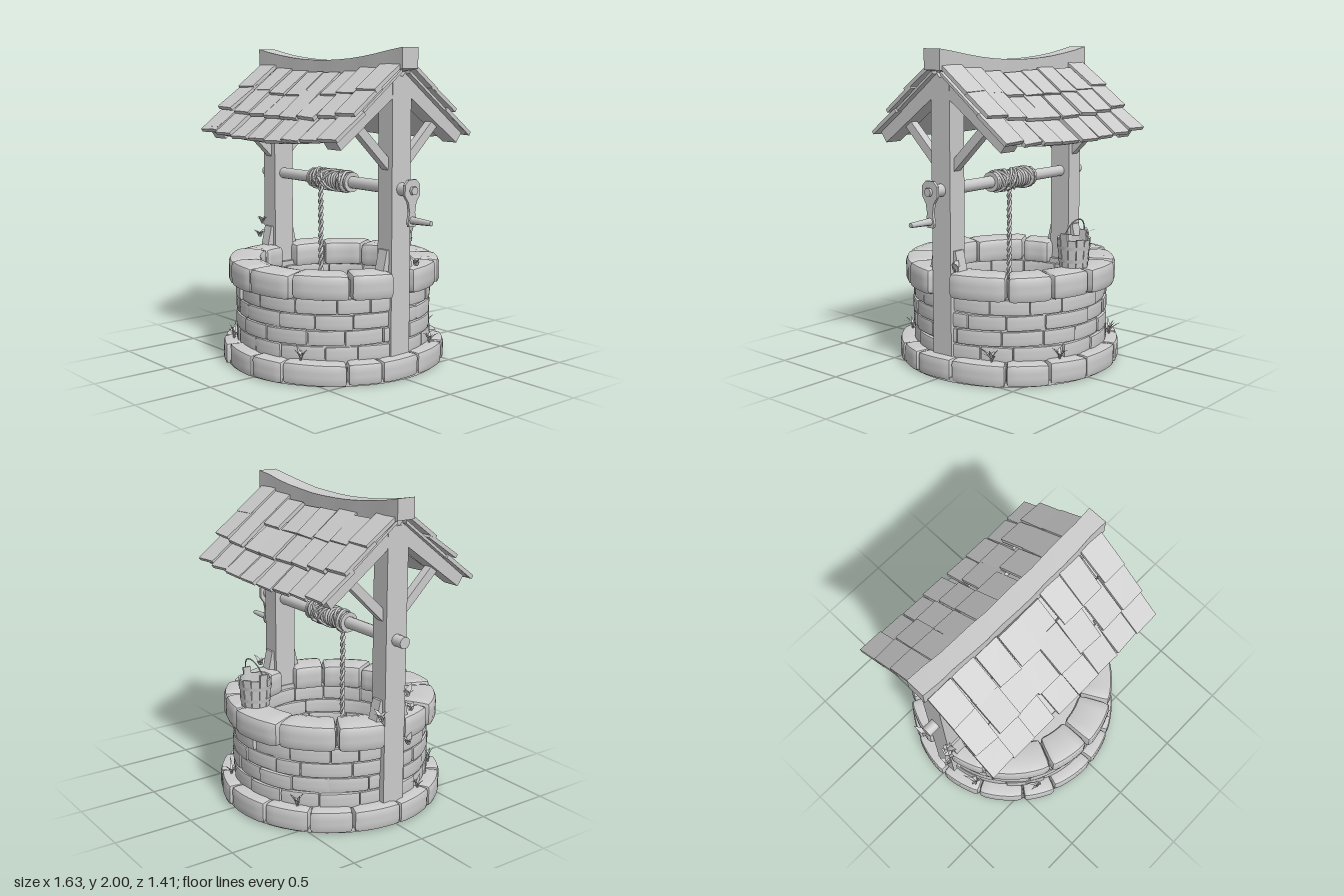
import * as THREE from 'three';
import { toCreasedNormals } from 'three/addons/utils/BufferGeometryUtils.js';

const CX = -0.07; // x of the well's axis
const grey = new THREE.MeshStandardMaterial({ color: 0xcccccc });
const thin = new THREE.MeshStandardMaterial({ color: 0xcccccc, side: THREE.DoubleSide });

let seed = 7;
const rnd = (a, b) => {
  seed = (seed * 16807) % 2147483647;
  return a + (b - a) * (seed / 2147483647);
};

function add(parent, name, geo, pos = [0, 0, 0], rot = [0, 0, 0], mat = grey) {
  const m = new THREE.Mesh(geo, mat);
  m.name = name;
  m.position.set(...pos);
  m.rotation.set(...rot);
  parent.add(m);
  return m;
}

function group(parent, name) {
  const g = new THREE.Group();
  g.name = name;
  parent.add(g);
  return g;
}

// Move every vertex of a geometry by a rule
function warp(geo, rule, crease = 0.6) {
  const p = geo.attributes.position, v = new THREE.Vector3();
  for (let i = 0; i < p.count; i++) {
    rule(v.fromBufferAttribute(p, i));
    p.setXYZ(i, v.x, v.y, v.z);
  }
  return toCreasedNormals(geo, crease);
}

// Rounded block bent round the well axis; a0..a1 are angles from the front
function stone(parent, name, a0, a1, y0, y1, r0, r1, round) {
  const w = (a1 - a0) * r1, h = y1 - y0, d = r1 - r0, mid = (a0 + a1) / 2;
  const tilt = rnd(-0.03, 0.03), lean = rnd(-0.04, 0.04);
  const inner = new THREE.Vector3(w / 2 - round, h / 2 - round, d / 2 - round);
  const core = new THREE.Vector3();
  const geo = warp(new THREE.BoxGeometry(w, h, d, 8, 5, 4), (v) => {
    core.copy(v).clamp(inner.clone().negate(), inner);
    v.sub(core);
    if (v.lengthSq() > 0) v.setLength(round);
    v.add(core);
    const a = mid + v.x / r1, r = (r0 + r1) / 2 + v.z + lean * v.x, y = (y0 + y1) / 2 + v.y + tilt * v.x;
    v.set(CX + r * Math.sin(a), Math.max(0, y), r * Math.cos(a));
  }, 0.7);
  add(parent, name, geo);
}

// Ring of stones of uneven width between two angles
function course(parent, name, n, from, to, y0, y1, r0, r1, round, gap, jitter) {
  const step = (to - from) / n;
  const cuts = Array.from({ length: n + 1 }, (_, i) => from + step * (i + (i % n ? rnd(-0.2, 0.2) : 0)));
  for (let i = 0; i < n; i++) {
    stone(parent, name, cuts[i] + gap, cuts[i + 1] - gap, y0 + rnd(0, jitter / 2), y1 - rnd(0, jitter / 2),
      r0, r1 + rnd(-jitter, jitter), round);
  }
}

// Square timber between two points
function beam(parent, name, a, b, w, d) {
  const A = new THREE.Vector3(...a), B = new THREE.Vector3(...b);
  const m = add(parent, name, new THREE.BoxGeometry(w, d, A.distanceTo(B)));
  m.position.copy(A).add(B).multiplyScalar(0.5);
  m.lookAt(B);
}

function tube(parent, name, fn, n, r, sides = 6) {
  const pts = Array.from({ length: n + 1 }, (_, i) => new THREE.Vector3(...fn(i / n)));
  return add(parent, name, new THREE.TubeGeometry(new THREE.CatmullRomCurve3(pts), n * 2, r, sides), undefined, undefined, thin);
}

const sag = (x, depth) => depth * Math.max(0, 1 - ((x + 0.1) / 0.7) ** 2);

function buildStonework(root) {
  const g = group(root, 'stonework');
  add(g, 'floor', new THREE.CylinderGeometry(0.69, 0.69, 0.03, 48), [CX, 0.015, 0]);
  const ring = [[0.51, 0.02], [0.612, 0.02], [0.612, 0.55], [0.51, 0.55], [0.51, 0.02]].map((p) => new THREE.Vector2(...p));
  add(g, 'wallCore', toCreasedNormals(new THREE.LatheGeometry(ring, 48), 0.6), [CX, 0, 0]);
  course(g, 'baseStone', 15, 0.1, 0.1 + Math.PI * 2, 0, 0.145, 0.56, 0.71, 0.025, 0.003, 0.008);
  for (let k = 0; k < 4; k++) {
    const y = 0.13 + k * 0.097, a = k * 0.17;
    course(g, 'wallStone', 16, a, a + Math.PI * 2, y, y + 0.097, 0.56, 0.627, 0.01, 0.002, 0.007);
    course(g, 'innerStone', 12, a, a + Math.PI * 2, y, y + 0.097, 0.49, 0.56, 0.01, 0.002, 0.004);
  }
  // Rim is interrupted where the posts pass
  for (const a of [-Math.PI / 2, Math.PI / 2]) {
    course(g, 'rimStone', 6, a + 0.11, a + Math.PI - 0.11, 0.505, 0.675, 0.465, 0.68, 0.035, 0.003, 0.01);
  }
}

function buildFrame(root) {
  const g = group(root, 'frame');
  for (const x of [-0.665, 0.51]) {
    add(g, 'post', new THREE.BoxGeometry(0.125, 1.7, 0.15), [x, 0.98, 0]);
    for (const s of [-1, 1]) {
      add(g, 'footWedge', warp(new THREE.BoxGeometry(0.075, 0.13, 0.05), (v) => { if (v.y > 0 && v.z > 0) v.z -= 0.03; }),
        [x, 0.73, s * 0.095], [0, s < 0 ? Math.PI : 0, 0]);
      beam(g, 'rafter', [x, 1.815, 0], [x, 1.455, s * 0.495], 0.12, 0.1);
      beam(g, 'brace', [x, 1.29, s * 0.05], [x, 1.56, s * 0.33], 0.055, 0.055);
    }
  }
}

function buildRoof(root) {
  const g = group(root, 'roof');
  add(g, 'ridgeBeam', warp(new THREE.BoxGeometry(1.43, 0.125, 0.13, 12, 1, 1), (v) => {
    v.x -= 0.075;
    v.y += 1.935 - sag(v.x, 0.075);
    v.z *= 1 - 0.1 * Math.sin(v.x * 9) ** 2;
  }));
  const rows = [[0.545, 1.49, 0.045], [0.41, 1.63, 0.05], [0.25, 1.765, 0.055]];
  for (const s of [-1, 1]) {
    // Boarding under the shingles
    add(g, 'boarding', warp(new THREE.BoxGeometry(1.36, 0.02, 0.61, 12, 1, 1), (v) => {
      const z = 0.275 + v.z * 0.8, y = 1.672 - v.z * 0.62 + v.y;
      v.set(v.x - 0.075, y - sag(v.x - 0.075, 0.05), s * z);
      if (s < 0) v.x = -0.15 - v.x; // keep the faces turned outward
    }));
    rows.forEach(([z, y, depth], k) => {
      const n = 8, step = 1.39 / n;
      for (let i = 0; i < n; i++) {
        const x = -0.77 + step * (i + 0.5) + (i > 0 && i < n - 1 ? rnd(-0.012, 0.012) : 0);
        const len = (k === 2 ? 0.23 : 0.25) + rnd(-0.01, 0.02), a = 0.63 + rnd(-0.03, 0.03), tip = rnd(-0.018, 0.018);
        const geo = warp(new THREE.BoxGeometry(step - rnd(0, 0.012), 0.024, len), (v) => {
          if (v.z * s > 0) { v.z += rnd(-0.002, 0.002) + v.x * tip * 3; v.x *= 0.98; }
        });
        add(g, 'shingle', geo,
          [x, y + Math.sin(a) * len / 2 - 0.008 - sag(x, depth) + rnd(-0.004, 0.004), s * (z - Math.cos(a) * len / 2 + tip / 2)],
          [s * a, rnd(-0.03, 0.03), rnd(-0.025, 0.025)]);
      }
    });
  }
}

function buildWindlass(root) {
  const g = group(root, 'windlass'), Y = 1.16, side = [0, 0, Math.PI / 2];
  add(g, 'axle', new THREE.CylinderGeometry(0.036, 0.04, 1.46, 12), [-0.075, Y, 0], side);
  for (const x of [-0.262, 0.112]) add(g, 'collar', new THREE.CylinderGeometry(0.064, 0.064, 0.018, 14), [x, Y, 0], side);
  // Two layers of wound rope, the outer one loose
  tube(g, 'ropeCoil', (t) => [-0.245 + 0.34 * t, Y + 0.05 * Math.cos(t * 88), 0.05 * Math.sin(t * 88)], 170, 0.014, 5);
  tube(g, 'looseRope', (t) => [-0.075 + 0.155 * Math.sin(t * 21 + 0.6) + 0.012 * Math.sin(t * 70),
    Y + 0.065 * Math.cos(t * 60), 0.065 * Math.sin(t * 60)], 140, 0.009, 5);
  for (const p of [0, Math.PI]) {
    tube(g, 'hangingRope', (t) => [-0.13 + 0.009 * Math.cos(t * 70 + p), Y - 0.02 - 1.0 * t, 0.055 + 0.009 * Math.sin(t * 70 + p)], 90, 0.009, 5);
  }
  // Crank plate: wide head, narrow waist, small foot
  const plate = new THREE.Shape([[-0.03, 0.065], [0.03, 0.065], [0.06, 0.035], [0.06, -0.03], [0.032, -0.07], [0.022, -0.13],
    [0.034, -0.19], [0.025, -0.215], [-0.025, -0.215], [-0.034, -0.19], [-0.022, -0.13], [-0.032, -0.07], [-0.06, -0.03], [-0.06, 0.035]]
    .map((p) => new THREE.Vector2(...p)));
  add(g, 'crankPlate', new THREE.ExtrudeGeometry(plate, { depth: 0.018, bevelEnabled: false }), [0.652, Y, 0], [0, Math.PI / 2, 0]);
  add(g, 'crankBolt', new THREE.CylinderGeometry(0.027, 0.027, 0.03, 6), [0.675, Y, 0], side);
  add(g, 'crankHandle', new THREE.CylinderGeometry(0.024, 0.015, 0.17, 8), [0.745, 0.982, 0], side);
}

function buildBucket(root) {
  const g = group(root, 'bucket');
  g.position.set(-0.035, 0.672, -0.54);
  const n = 12;
  for (let i = 0; i < n; i++) {
    const a = (i / n) * Math.PI * 2, lug = i % 6 === 3;
    const h = lug ? 0.215 : 0.17 + rnd(0, 0.012);
    const pivot = group(g, 'stave');
    pivot.rotation.y = a;
    add(pivot, 'stavePlank', warp(new THREE.BoxGeometry(0.047, h, 0.014), (v) => {
      v.y += h / 2;
      v.x *= 0.86 + v.y;
      v.z += 0.078 + v.y * 0.09;
    }));
  }
  add(g, 'bucketBottom', new THREE.CylinderGeometry(0.078, 0.078, 0.015, 12), [0, 0.015, 0]);
  for (const y of [0.045, 0.125]) {
    add(g, 'hoop', new THREE.CylinderGeometry(0.094 + y * 0.09, 0.09 + y * 0.09, 0.024, 12, 1, true), [0, y, 0], [0, 0.26, 0], thin);
  }
  tube(g, 'bucketHandle', (t) => [0.098 * Math.cos(Math.PI * t), 0.19 + 0.105 * Math.sin(Math.PI * t), -0.03 * Math.sin(Math.PI * t)], 14, 0.004, 5);
}

// Tapered blade that droops outward
function blade(parent, name, len, width, yaw, lean) {
  const geo = warp(new THREE.PlaneGeometry(width, len, 1, 4), (v) => {
    const t = v.y / len + 0.5;
    v.set(v.x * Math.sin(Math.PI * (0.2 + 0.8 * t)) * 1.3, len * t * (1 - 0.3 * lean * t), len * lean * t * t);
  }, 1);
  add(parent, name, geo, undefined, [0, yaw, 0], thin);
}

function buildPlants(root) {
  const g = group(root, 'plants');
  for (const a of [-0.53, 0.58, 2.1, 2.75, -2.5, -1.2]) {
    const tuft = group(g, 'grassTuft');
    tuft.position.set(CX + 0.65 * Math.sin(a), 0.14, 0.65 * Math.cos(a));
    for (let i = 0; i < 7; i++) blade(tuft, 'grassBlade', rnd(0.06, 0.12), 0.014, i * 0.9 + rnd(0, 0.5), rnd(0.3, 0.9));
  }
  // Leafy sprigs round the left and right rim
  for (const [x, y, z] of [[-0.75, 0.71, 0.1], [-0.74, 0.8, 0.08], [-0.76, 0.5, 0.08], [-0.75, 0.69, -0.12], [0.58, 0.68, -0.12]]) {
    const sprig = group(g, 'sprig');
    sprig.position.set(x, y, z);
    for (let i = 0; i < 4; i++) blade(sprig, 'leaf', rnd(0.05, 0.09), 0.03, i * 1.6 + rnd(0, 0.6), rnd(0.4, 0.9));
  }
}

export function createModel() {
  const root = new THREE.Group();
  root.name = 'well';
  [buildStonework, buildFrame, buildRoof, buildWindlass, buildBucket, buildPlants].forEach((build) => build(root));
  return root;
}
